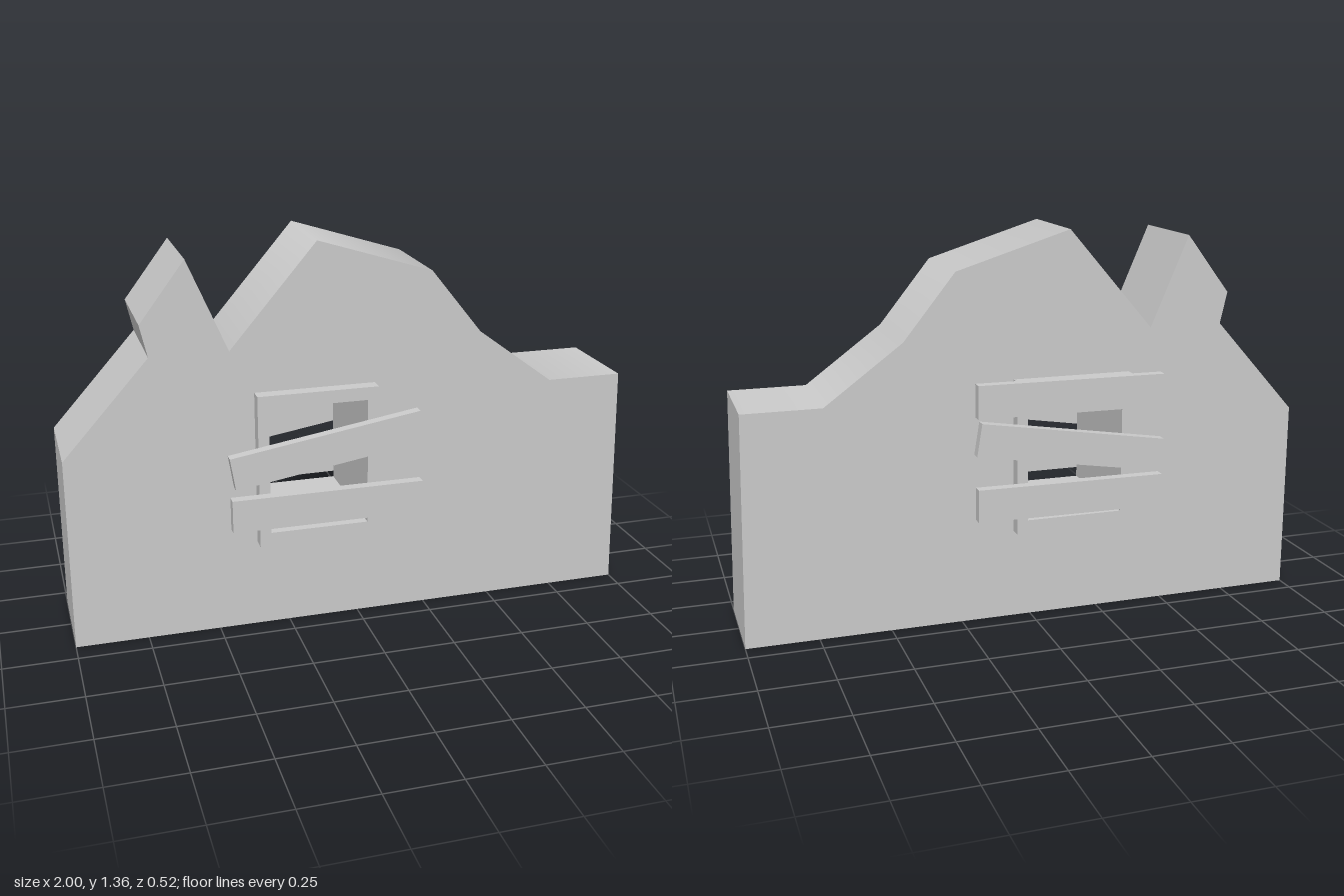
import * as THREE from 'three';

const material = new THREE.MeshStandardMaterial({ color: 0xcccccc });

// Counter-clockwise outline of the broken wall
const outline = [
  [-1, 0], [1, 0], [0.98, 0.805], [0.71, 0.805], [0.44, 1.005], [0.26, 1.23],
  [-0.14, 1.355], [-0.44, 1.005], [-0.575, 1.32], [-0.73, 1.115], [-0.705, 1.005], [-1, 0.675],
].map(([x, y]) => new THREE.Vector2(x, y));

const rectangle = (x0, y0, x1, y1) =>
  [[x0, y0], [x1, y0], [x1, y1], [x0, y1]].map(([x, y]) => new THREE.Vector2(x, y));

function slab(points, hole, z0, z1) {
  const shape = new THREE.Shape(points);
  shape.holes.push(new THREE.Path(hole));
  return new THREE.ExtrudeGeometry(shape, { depth: z1 - z0, bevelEnabled: false }).translate(0, 0, z0);
}

// Blend the normals along the worn top edge, between outline points 'first' and 'last'
function smoothTop(geometry, first, last) {
  const edgeNormal = (i) => {
    const d = outline[i + 1].clone().sub(outline[i]).normalize();
    return new THREE.Vector2(d.y, -d.x);
  };
  const position = geometry.attributes.position, normal = geometry.attributes.normal;
  for (let k = first + 1; k < last; k++) {
    const before = edgeNormal(k - 1), after = edgeNormal(k);
    const blend = before.clone().add(after).normalize();
    for (let i = 0; i < position.count; i++) {
      const onPoint = Math.hypot(position.getX(i) - outline[k].x, position.getY(i) - outline[k].y) < 1e-4;
      if (onPoint && Math.abs(normal.getZ(i)) < 0.5) normal.setXYZ(i, blend.x, blend.y, 0);
    }
  }
}

export function createModel() {
  const group = new THREE.Group();
  const add = (name, geometry) => {
    const mesh = new THREE.Mesh(geometry, material);
    mesh.name = name;
    group.add(mesh);
    return mesh;
  };

  // Wall with a window opening
  const frameOuter = rectangle(-0.36, 0.313, 0.06, 0.855);
  const wall = slab(outline, frameOuter, -0.178, 0.172);
  smoothTop(wall, 2, 7);
  add('wall', wall);

  // Window frame lining the opening and standing proud on both faces
  add('windowFrame', slab(frameOuter, rectangle(-0.322, 0.362, 0.022, 0.81), -0.22, 0.22));

  // Boards nailed across the window: name, centre y, z, tilt
  const boards = [
    ['frontLowerBoard', 0.453, 0.243, 0],
    ['frontSlantedBoard', 0.658, 0.243, 0.16],
    ['backLowerBoard', 0.44, -0.241, 0.006],
    ['backSlantedBoard', 0.62, -0.241, 0.16],
    ['backUpperBoard', 0.801, -0.241, 0.006],
  ];
  for (const [name, y, z, tilt] of boards) {
    const board = add(name, new THREE.BoxGeometry(0.67, 0.115, 0.036));
    board.position.set(-0.126, y, z);
    board.rotation.z = tilt;
  }
  return group;
}
